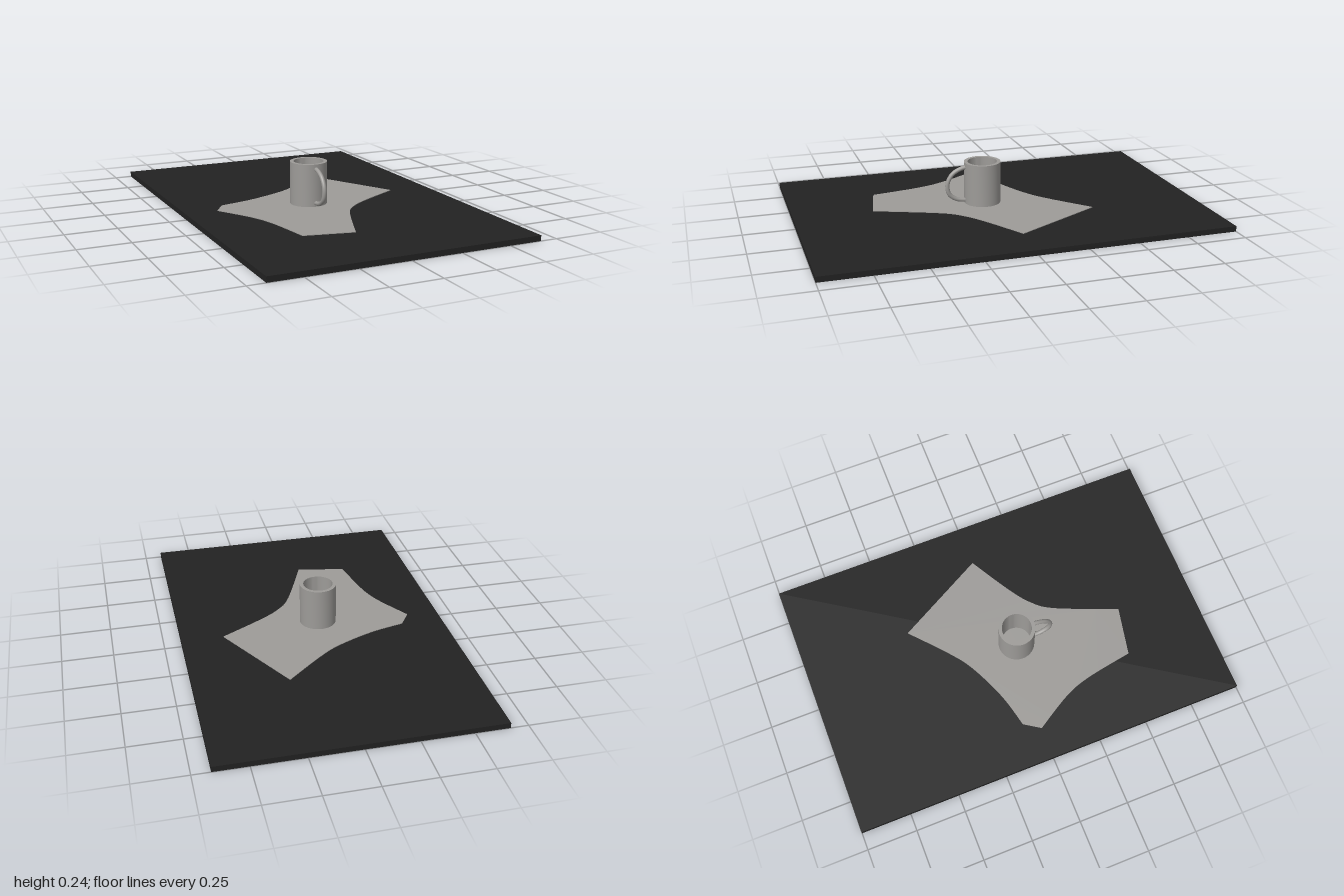
import * as THREE from 'three';
import { toCreasedNormals } from 'three/addons/utils/BufferGeometryUtils.js';

const BOARD_TOP = 0.027;

export function createModel() {
  const model = new THREE.Group();
  const black = new THREE.MeshStandardMaterial({ color: 0x222222 });
  black.name = 'black';
  const grey = new THREE.MeshStandardMaterial({ color: 0x9d9b98 });
  grey.name = 'warm grey';

  const add = (name, geometry, material, parent = model) => {
    const mesh = new THREE.Mesh(geometry, material);
    mesh.name = name;
    parent.add(mesh);
    return mesh;
  };

  // Flat table top
  add('tableTop', new THREE.BoxGeometry(1.33, BOARD_TOP, 2), black).position.y = BOARD_TOP / 2;

  // Thin hide-shaped mat: straight ends joined by curved sides (shape y is -z)
  const v = (x, z) => new THREE.Vector2(x, -z);
  const outline = new THREE.Shape();
  outline.moveTo(0.21, 0.45);
  outline.lineTo(-0.0 + 0.455, 0);
  outline.setFromPoints([v(0.21, -0.45), v(0.455, 0)]);
  outline.splineThru([v(0.25, 0.118), v(0.137, 0.2), v(0.06, 0.305), v(-0.066, 0.61)]);
  outline.lineTo(-0.307, -0.56);
  outline.splineThru([v(-0.35, 0.32), v(-0.4, 0.18), v(-0.507, 0)]);
  outline.lineTo(-0.454, 0.08);
  outline.splineThru([v(-0.28, -0.125), v(-0.09, -0.208), v(0.03, -0.292), v(0.21, -0.45)]);
  const matGeometry = new THREE.ExtrudeGeometry(outline, { depth: 0.003, bevelEnabled: false, curveSegments: 10 });
  matGeometry.rotateX(-Math.PI / 2);
  add('mat', matGeometry, grey).position.y = BOARD_TOP;

  // Mug: hollow cup with a thick wall, and a curved handle facing front
  const mug = new THREE.Group();
  mug.name = 'mug';
  mug.position.set(-0.042, BOARD_TOP + 0.001, 0.05);
  model.add(mug);

  const profile = [[0, 0], [0.092, 0], [0.092, 0.215], [0.074, 0.215], [0.074, 0.02], [0, 0.02]]
    .map(([r, y]) => new THREE.Vector2(r, y));
  add('cup', toCreasedNormals(new THREE.LatheGeometry(profile, 48), 0.6), grey, mug);

  const path = new THREE.CatmullRomCurve3(
    [[0.192, 0.082], [0.184, 0.115], [0.161, 0.155], [0.122, 0.179], [0.085, 0.182], [0.054, 0.171], [0.028, 0.135], [0.018, 0.082]]
      .map(([y, z]) => new THREE.Vector3(0, y, z)));
  add('handle', new THREE.TubeGeometry(path, 40, 0.011, 12), grey, mug);

  return model;
}
